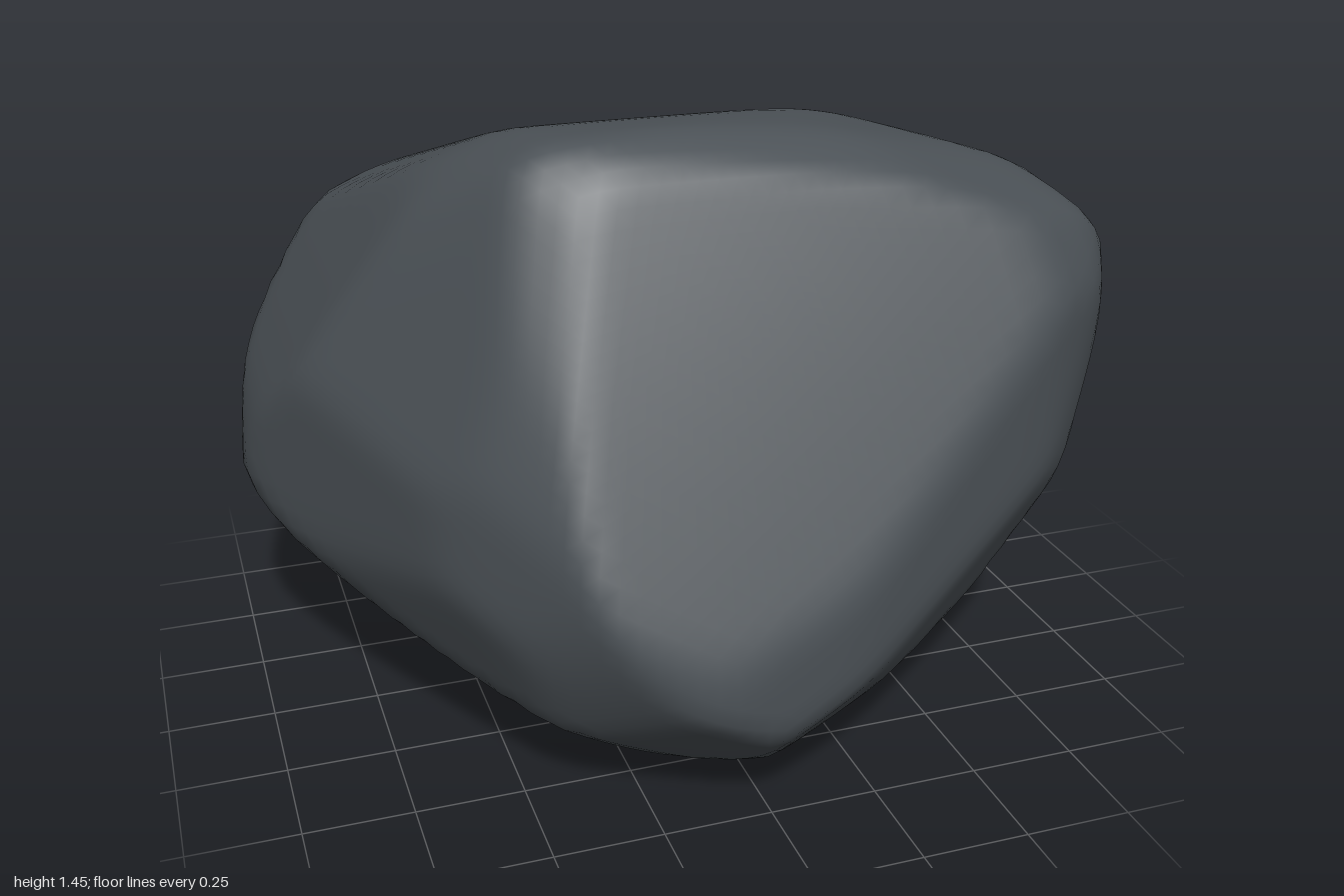
import * as THREE from 'three';
import { mergeVertices } from 'three/addons/utils/BufferGeometryUtils.js';

const MID = 0.735; // height of the rock's centre

// Contours of the rock, each lying in a plane turned by (azimuth, elevation) degrees
const FRONT = [-1, -.195, -.96, -.005, -.81, .265, -.6, .575, -.55, .625, -.37, .715, -.12, .735, .3, .695,
  .79, .575, .87, .525, 1, .385, .95, .165, .89, -.035, .84, -.145, .6, -.465, .43, -.625, -.05, -.73, -.29, -.715, -.85, -.405];
const SIDE = [-.85, -.445, -.82, -.195, -.5, .475, -.42, .665, -.32, .735, -.08, .705, .71, .435, .84, .265,
  .84, .055, .66, -.275, .57, -.395, .2, -.685, -.2, -.73, -.45, -.695, -.73, -.595];
const TOP = [-1, .28, -.97, .51, -.91, .65, -.78, .79, -.53, .845, -.36, .84, 0, .76, .46, .54, .69, .35,
  .88, .03, 1, -.28, .95, -.4, .91, -.45, .73, -.57, .19, -.78, -.13, -.835, -.38, -.78, -.63, -.49];
const DIAGONAL_A = [-.8, -.23, -.79, .03, -.59, .54, -.54, .63, -.43, .71, -.04, .77, .19, .67, .66, .39, .755, .21,
  .73, -.07, .62, -.36, .52, -.55, .35, -.665, .165, -.71, -.25, -.78, -.455, -.78, -.68, -.57, -.755, -.42];
const DIAGONAL_B = [-.755, .3, -.72, .61, -.65, .69, -.52, .79, -.07, .81, .26, .74, .42, .695, .59, .555, .71, .27,
  .785, .04, .79, -.195, .65, -.53, .51, -.67, .35, -.745, .07, -.74, -.225, -.615, -.45, -.5, -.555, -.365, -.69, -.09];
const DIAGONAL_C = [-.985, .38, -.94, .55, -.88, .59, -.75, .665, -.33, .71, .62, .545, .855, .47, 1.02, .285, 1.1, .055,
  1.11, -.16, 1.05, -.34, .84, -.495, .17, -.73, -.185, -.81, -.43, -.805, -.65, -.57, -.93, -.04];

// Every contour edge becomes a cutting plane: unit normal n at distance d from the centre
function cutsFrom(outline, azimuth, elevation) {
  const turn = new THREE.Euler(-THREE.MathUtils.degToRad(elevation), THREE.MathUtils.degToRad(azimuth), 0, 'YXZ');
  const cuts = [];
  for (let i = 0; i < outline.length; i += 2) {
    const j = (i + 2) % outline.length;
    const n = new THREE.Vector3(outline[j + 1] - outline[i + 1], outline[i] - outline[j], 0).normalize();
    let d = n.x * outline[i] + n.y * outline[i + 1];
    if (d < 0) { n.negate(); d = -d; }
    cuts.push({ n: n.applyEuler(turn), d });
  }
  return cuts;
}

// Worn edges on either side of the front face
const CHAMFERS = [
  { n: new THREE.Vector3(-.457, .43, .78).normalize(), d: .745 },
  { n: new THREE.Vector3(.5, .5, .7).normalize(), d: .94 },
];

// Gully along the underside and up the back: centre, depth, width
const GULLY = [
  [new THREE.Vector3(.18, -.68, .3), .09, .17],
  [new THREE.Vector3(.02, -.68, 0), .1, .17],
  [new THREE.Vector3(-.13, -.57, -.3), .1, .17],
  [new THREE.Vector3(-.17, -.28, -.5), .06, .2],
];

function rockGeometry() {
  const cuts = [
    ...cutsFrom(FRONT, 0, 0), ...cutsFrom(SIDE, 90, 0), ...cutsFrom(TOP, 0, 90),
    ...cutsFrom(DIAGONAL_A, 40, 25), ...cutsFrom(DIAGONAL_B, 220, 25), ...cutsFrom(DIAGONAL_C, 140, -25),
    ...CHAMFERS,
  ];
  const ball = new THREE.IcosahedronGeometry(1, 22);
  ball.deleteAttribute('uv');
  ball.deleteAttribute('normal');
  const geometry = mergeVertices(ball, 1e-4);
  const position = geometry.attributes.position;
  const p = new THREE.Vector3();
  const sharpness = 100;
  const allowance = 1.008; // makes up for the rounding

  for (let i = 0; i < position.count; i++) {
    p.fromBufferAttribute(position, i).normalize();
    // Soft minimum of the distances to all cuts rounds the edges between them
    let sum = 0;
    for (const { n, d } of cuts) sum += Math.pow(Math.max(0, n.dot(p)) / d, sharpness);
    p.multiplyScalar(allowance * Math.pow(sum, -1 / sharpness));
    let dent = 0;
    for (const [c, depth, width] of GULLY) dent += depth * Math.exp(-p.distanceToSquared(c) / (width * width));
    p.setLength(p.length() - dent);
    position.setXYZ(i, p.x, p.y, p.z);
  }

  // Stand it on the ground
  geometry.computeBoundingBox();
  geometry.translate(0, -geometry.boundingBox.min.y, 0);
  geometry.computeVertexNormals();
  return geometry;
}

export function createModel() {
  const group = new THREE.Group();
  group.name = 'boulder';
  const stone = new THREE.MeshStandardMaterial({ color: 0x4b5156 });
  stone.name = 'dark grey stone';
  const rock = new THREE.Mesh(rockGeometry(), stone);
  rock.name = 'rock';
  group.add(rock);
  return group;
}
